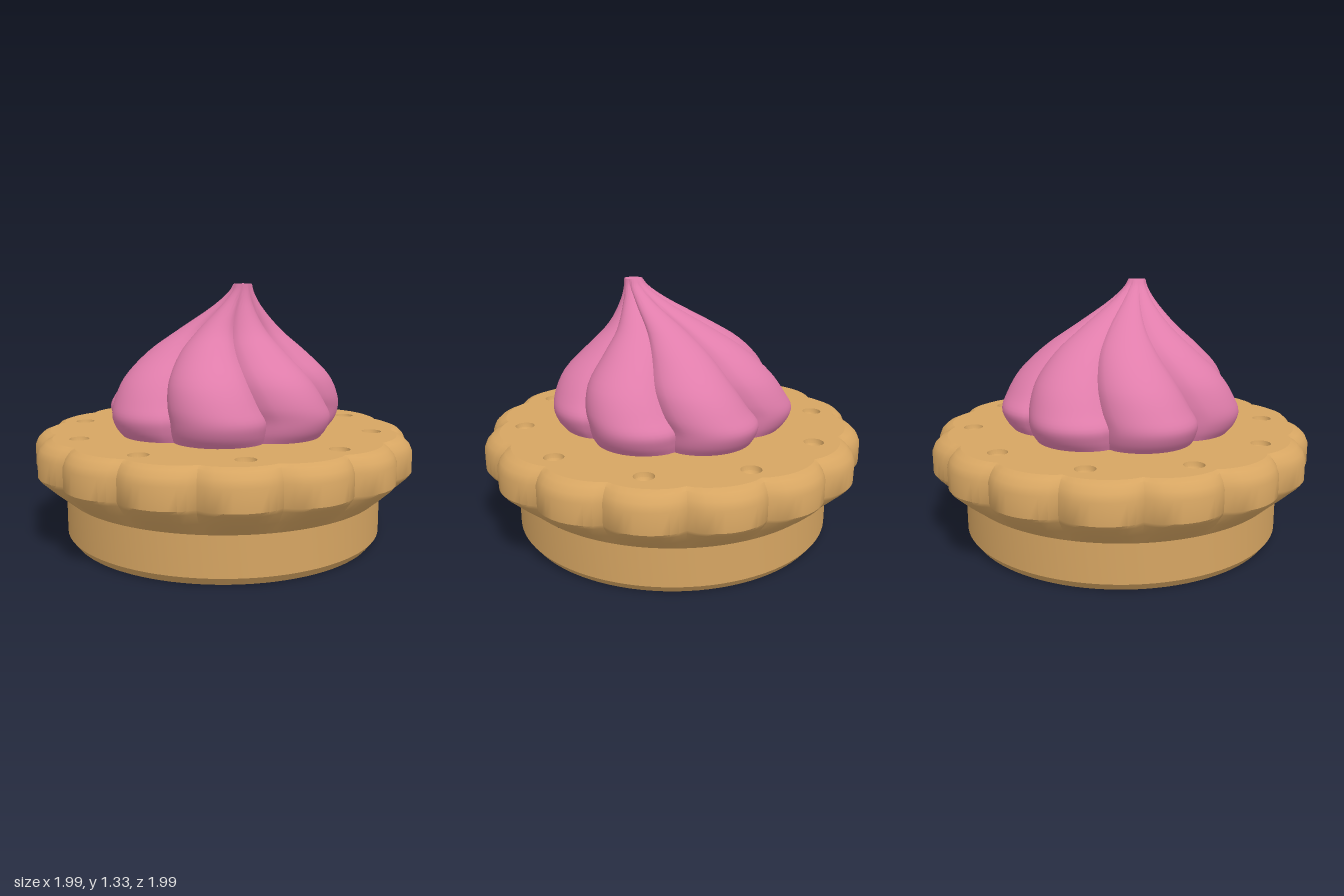
import * as THREE from 'three';
import { toCreasedNormals } from 'three/addons/utils/BufferGeometryUtils.js';

const TAU = Math.PI * 2, RAD = Math.PI / 180;
const TOP = 0.565;

// Closed skin through rings of points; at(angle, row) returns [x, y, z].
function loft(rows, segs, at) {
  const pos = [], idx = [];
  for (let j = 0; j < rows; j++)
    for (let i = 0; i < segs; i++) pos.push(...at((i / segs) * TAU, j));
  for (let j = 0; j < rows - 1; j++)
    for (let i = 0; i < segs; i++) {
      const a = j * segs + i, b = j * segs + (i + 1) % segs;
      idx.push(a, b, b + segs, a, b + segs, a + segs);
    }
  const g = new THREE.BufferGeometry();
  g.setAttribute('position', new THREE.Float32BufferAttribute(pos, 3));
  g.setIndex(idx);
  return toCreasedNormals(g, 0.6);
}

// 0 in the creases, 1 on the crown of each lobe.
const lobe = (a, n, power) => Math.pow(Math.abs(Math.sin((a * n) / 2)), power);

// Scalloped biscuit edge: 16 lobes
const WAVE = 16, PHASE = -5 * RAD, RIM_SEGS = WAVE * 10;
const rimRadius = (a, r, depth) => r - depth * (1 - lobe(a, WAVE, 0.7));

export function createModel() {
  const model = new THREE.Group();
  const biscuit = new THREE.MeshStandardMaterial({ color: 0xd6a562 });
  biscuit.name = 'biscuit';
  const icing = new THREE.MeshStandardMaterial({ color: 0xe07dab });
  icing.name = 'icing';
  const add = (name, geometry, material) => {
    const mesh = new THREE.Mesh(geometry, material);
    mesh.name = name;
    model.add(mesh);
    return mesh;
  };
  const lathe = (pts, segs) => toCreasedNormals(
    new THREE.LatheGeometry(pts.map(p => new THREE.Vector2(...p)), segs), 0.5);

  // Hollow round base with a chamfered foot
  add('base', lathe([[0, 0.42], [0.74, 0.42], [0.74, 0], [0.81, 0],
    [0.84, 0.04], [0.84, 0.24]], 96), biscuit);

  // Centre post with a cross-shaped socket
  const post = new THREE.Shape().absarc(0, 0, 0.17, 0, TAU, false);
  const L = 0.125, w = 0.03;
  const cross = [];
  for (let k = 0; k < 4; k++)
    for (const [x, y] of [[L, -w], [L, w], [w, w]])
      cross.push(new THREE.Vector2(x, y).rotateAround(new THREE.Vector2(), k * Math.PI / 2));
  post.holes.push(new THREE.Path(cross));
  const postGeo = new THREE.ExtrudeGeometry(post, { depth: 0.42, bevelEnabled: false, curveSegments: 32 });
  add('post', toCreasedNormals(postGeo.rotateX(-Math.PI / 2), 0.5), biscuit);

  // Scalloped rim: [radius, height, scallop depth]
  const rim = [[0.84, 0.24, 0], [0.92, 0.305, 0.03], [0.985, 0.365, 0.05], [1.0, 0.385, 0.055],
    [1.0, 0.49, 0.055], [0.985, 0.525, 0.055], [0.955, 0.553, 0.05], [0.92, TOP, 0.035]];
  add('scallopedRim', loft(rim.length, RIM_SEGS, (a, j) => {
    const [r0, y, depth] = rim[j], r = rimRadius(a, r0, depth);
    return [r * Math.cos(a + PHASE), y, -r * Math.sin(a + PHASE)];
  }), biscuit);

  // Flat top pierced by ten round dimples
  const outline = [];
  for (let i = 0; i < RIM_SEGS; i++) {
    const a = (i / RIM_SEGS) * TAU, r = rimRadius(a, 0.92, 0.035);
    outline.push(new THREE.Vector2(r * Math.cos(a + PHASE), r * Math.sin(a + PHASE)));
  }
  const plate = new THREE.Shape(outline);
  const bowl = lathe([[0.05, 0], [0.045, -0.022], [0.03, -0.04], [0.015, -0.048], [0, -0.05]], 24);
  for (let k = 0; k < 10; k++) {
    const x = 0.79 * Math.cos(k * TAU / 10), y = 0.79 * Math.sin(k * TAU / 10);
    plate.holes.push(new THREE.Path().absarc(x, y, 0.05, 0, TAU, true));
    add('dimple', bowl, biscuit).position.set(x, TOP, -y);
  }
  add('biscuitTop', new THREE.ShapeGeometry(plate, 12).rotateX(-Math.PI / 2).translate(0, TOP, 0), biscuit);

  // Piped icing: seven twisting lobes leaning to an off-centre tip
  // Keys: height, radius, sideways lean, twist in degrees, crease depth
  const keys = [[0.56, 0.575, 0, 0, 0.14], [0.61, 0.615, 0, 0, 0.16], [0.67, 0.635, 0, 0, 0.17],
    [0.74, 0.615, 0.01, -4, 0.18], [0.85, 0.555, 0.018, -9, 0.19], [0.985, 0.415, 0.024, -14, 0.2],
    [1.09, 0.275, 0.06, -18, 0.2], [1.22, 0.12, 0.145, -24, 0.17], [1.29, 0.062, 0.185, -28, 0.1],
    [1.325, 0.047, 0.197, -30, 0.04]];
  const path = c => new THREE.CatmullRomCurve3(keys.map(k => new THREE.Vector3(...c(k))));
  const shape = path(k => [k[1], k[0], k[2]]), turn = path(k => [k[3] * RAD, k[0], k[4]]);
  const ROWS = 37;
  add('icingSwirl', loft(ROWS + 1, 7 * 16, (a, j) => {
    const t = Math.min(j / (ROWS - 1), 1), s = shape.getPoint(t), q = turn.getPoint(t);
    const r = j === ROWS ? 0 : s.x * (1 - q.z * (1 - lobe(a, 7, 0.75)));
    const b = a + 31 * RAD + q.x;
    return [s.z + r * Math.cos(b), s.y + (j === ROWS ? 0.003 : 0), s.z * 0.25 - r * Math.sin(b)];
  }), icing);

  return model;
}
